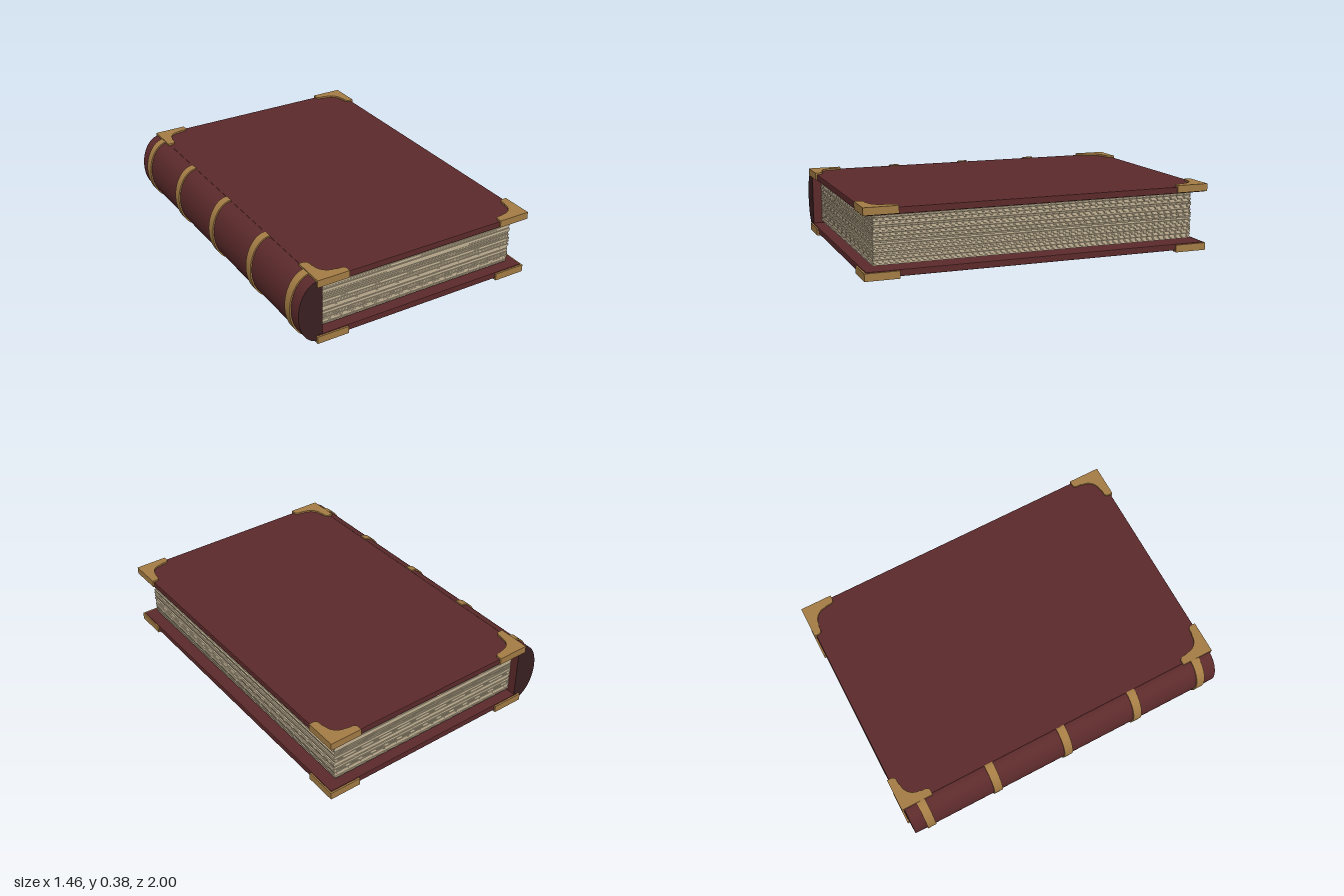
import * as THREE from 'three';
import { toCreasedNormals } from 'three/addons/utils/BufferGeometryUtils.js';

const mat = (name, color) => {
  const m = new THREE.MeshStandardMaterial({ color });
  m.name = name;
  return m;
};

const MID = 0.1925; // half height of the closed book

export function createModel() {
  const leather = mat('maroon leather', 0x5c2a2b);
  const darkLeather = mat('dark leather', 0x3a2022);
  const brass = mat('aged brass', 0xa57d45);
  const paper = mat('aged paper', 0xc6b698);
  const paperShade = mat('paper gap', 0x857b69);

  const book = new THREE.Group();
  book.name = 'book';
  const add = (name, geometry, material, x = 0, y = 0, z = 0) => {
    const mesh = new THREE.Mesh(geometry, material);
    mesh.name = name;
    mesh.position.set(x, y, z);
    book.add(mesh);
    return mesh;
  };

  // Cover boards with slightly bevelled edges
  const b = 0.005;
  const board = new THREE.Shape([
    new THREE.Vector2(-0.61 + b, -0.99 + b), new THREE.Vector2(0.722 - b, -0.99 + b),
    new THREE.Vector2(0.722 - b, 0.99 - b), new THREE.Vector2(-0.61 + b, 0.99 - b),
  ]);
  const boardGeo = new THREE.ExtrudeGeometry(board, {
    depth: 0.037 - 2 * b, bevelThickness: b, bevelSize: b, bevelSegments: 2,
  });
  boardGeo.rotateX(-Math.PI / 2);
  add('frontCover', boardGeo, leather, 0, 0.338 + b, 0);
  add('backCover', boardGeo, leather, 0, 0.01 + b, 0);

  // Rounded spine with dark end caps
  const spine = new THREE.Shape();
  spine.moveTo(-0.61, MID + 0.181);
  spine.absellipse(-0.61, MID, 0.116, 0.181, Math.PI / 2, Math.PI * 1.5, false);
  spine.lineTo(-0.608, 0.03);
  spine.lineTo(-0.586, 0.03);
  spine.lineTo(-0.586, 0.355);
  spine.lineTo(-0.608, 0.355);
  const spineGeo = new THREE.ExtrudeGeometry(spine, { depth: 1.974, bevelEnabled: false, curveSegments: 32 });
  spineGeo.translate(0, 0, -0.987);
  add('spine', toCreasedNormals(spineGeo, 0.5), [darkLeather, leather]);

  // Raised brass bands around the spine
  const band = new THREE.Shape();
  band.moveTo(-0.61, MID + 0.189);
  band.absellipse(-0.61, MID, 0.124, 0.189, Math.PI / 2, Math.PI * 1.5, false);
  band.lineTo(-0.61, MID - 0.176);
  band.absellipse(-0.61, MID, 0.111, 0.176, Math.PI * 1.5, Math.PI / 2, true);
  const bandGeo = toCreasedNormals(
    new THREE.ExtrudeGeometry(band, { depth: 0.052, bevelEnabled: false, curveSegments: 32 }), 0.5);
  [-0.885, -0.458, 0, 0.458, 0.885].forEach((z, i) => add(`spineBand${i + 1}`, bandGeo, brass, 0, 0, z - 0.026));

  // Scalloped corner fittings, one outline turned to all corners
  const arm = 0.19, w = 0.054, s = 0.132;
  const bracket = new THREE.Shape();
  bracket.moveTo(0, 0);
  bracket.lineTo(arm, 0);
  bracket.lineTo(arm, 0.03);
  bracket.quadraticCurveTo(arm - 0.004, 0.046, arm - 0.025, 0.048);
  bracket.quadraticCurveTo(s + 0.01, 0.047, s, w);
  bracket.absarc(s, s, s - w, -Math.PI / 2, Math.PI, true);
  bracket.quadraticCurveTo(0.047, s + 0.01, 0.048, arm - 0.025);
  bracket.quadraticCurveTo(0.046, arm - 0.004, 0.03, arm);
  bracket.lineTo(0, arm);
  const bracketGeo = new THREE.ExtrudeGeometry(bracket, { depth: 0.042, bevelEnabled: false, curveSegments: 10 });
  bracketGeo.rotateX(Math.PI / 2);
  const corners = [[-0.621, -1, 0], [0.73, -1, -Math.PI / 2], [0.73, 1, Math.PI], [-0.621, 1, Math.PI / 2]];
  for (const [side, y] of [['front', 0.385], ['back', 0.042]]) {
    corners.forEach(([x, z, turn], i) => {
      add(`${side}Corner${i + 1}`, bracketGeo, brass, x, y, z).rotation.y = turn;
    });
  }

  // Page block: uneven sheets around a darker core that shows in the gaps
  let seed = 7;
  const rand = () => (seed = (seed * 16807) % 2147483647) / 2147483647;
  const count = 26, bottom = 0.06, pitch = 0.265 / count;
  for (let i = 0; i < count; i++) {
    const right = 0.657 + rand() * 0.01;
    const halfZ = 0.932 + rand() * 0.007;
    const sheet = new THREE.BoxGeometry(right + 0.588, pitch * 0.8, halfZ * 2);
    add(`pages${i + 1}`, sheet, paper, (right - 0.588) / 2, bottom + (i + 0.5) * pitch, 0);
  }
  add('pageCore', new THREE.BoxGeometry(1.24, 0.258, 1.856), paperShade, 0.032, MID, 0);

  return book;
}
